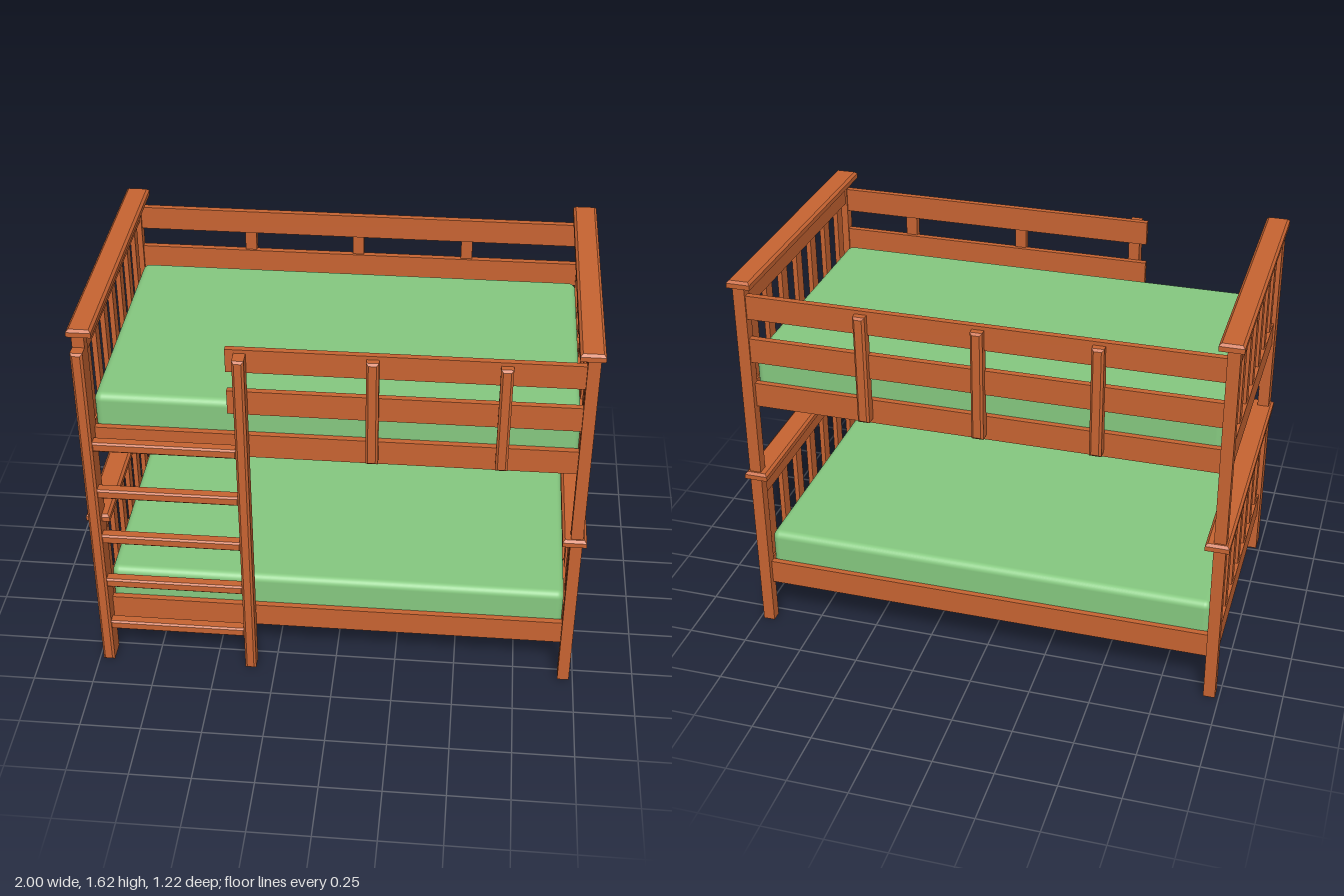
import * as THREE from 'three';
import { RoundedBoxGeometry } from 'three/addons/geometries/RoundedBoxGeometry.js';

const wood = new THREE.MeshStandardMaterial({ color: 0xc86432 });
const fabric = new THREE.MeshStandardMaterial({ color: 0x86c980 });

export function createModel() {
  const bed = new THREE.Group();
  bed.name = 'bunkBed';

  // Box between two limits per axis; the face on the given side is pulled in by a chamfer
  function board(name, [x0, x1], [y0, y1], [z0, z1], axis = '', side = 1, cut = 0.009) {
    const size = { x: x1 - x0, y: y1 - y0, z: z1 - z0 };
    let geo = new THREE.BoxGeometry(size.x, size.y, size.z);
    if (axis) {
      // add a middle ring so that only the outer part is chamfered
      const seg = { x: 1, y: 1, z: 1 };
      seg[axis] = 2;
      geo = new THREE.BoxGeometry(size.x, size.y, size.z, seg.x, seg.y, seg.z).toNonIndexed();
      const p = geo.attributes.position;
      const v = new THREE.Vector3();
      for (let i = 0; i < p.count; i++) {
        v.fromBufferAttribute(p, i);
        const d = v[axis] * side;
        if (Math.abs(d) < 1e-5) {
          v[axis] = side * (size[axis] / 2 - Math.min(cut, size[axis] * 0.6));
        } else if (d > 0) {
          for (const a of ['x', 'y', 'z']) if (a !== axis) v[a] -= Math.sign(v[a]) * cut;
        }
        p.setXYZ(i, v.x, v.y, v.z);
      }
      geo.computeVertexNormals();
    }
    const mesh = new THREE.Mesh(geo, wood);
    mesh.name = name;
    mesh.position.set((x0 + x1) / 2, (y0 + y1) / 2, (z0 + z1) / 2);
    bed.add(mesh);
  }
  const span = (c, w) => [c - w / 2, c + w / 2];
  const mid = -0.012; // z centre of the bunks

  // Posts and end panels
  for (const s of [-1, 1]) {
    const sx = (a, b) => (s > 0 ? [a, b] : [-b, -a]);
    for (const z of [[0.515, 0.56], [-0.583, -0.537]]) {
      board('post', sx(0.936, 0.984), [0, 1.613], z);
    }
    for (const y of [0, 0.866]) {
      board('endCap', sx(0.904, 1), [y + 0.722, y + 0.752], [-0.6, 0.575], 'y', 1, 0.01);
      board('endTopPanel', sx(0.943, 0.975), [y + 0.62, y + 0.724], [-0.54, 0.52]);
      board('endBottomPanel', sx(0.943, 0.975), [y + 0.187, y + 0.291], [-0.54, 0.52]);
      for (let i = -3; i <= 3; i++) {
        board('endSlat', sx(0.95, 0.97), [y + 0.28, y + 0.63], span(mid + i * 0.156, 0.056));
      }
    }
  }

  // Bunks: side rails, cross slats and mattress
  for (const y of [0, 0.866]) {
    board('sideRail', [-0.945, 0.945], [y + 0.187, y + 0.291], [0.512, 0.537]);
    board('sideRail', [-0.945, 0.945], [y + 0.187, y + 0.291], [-0.56, -0.535]);
    for (const z of [0.497, -0.52]) {
      board('slatLedge', [-0.943, 0.943], [y + 0.19, y + 0.208], span(z, 0.032));
    }
    for (let i = -4; i <= 4; i++) {
      board('crossSlat', span(i * 0.185, 0.08), [y + 0.208, y + 0.228], [-0.536, 0.513]);
    }
    const mattress = new THREE.Mesh(new RoundedBoxGeometry(1.872, 0.197, 1.048, 4, 0.03), fabric);
    mattress.name = 'mattress';
    mattress.position.set(0, y + 0.326, mid);
    bed.add(mattress);
  }

  // Guard rails: full length at the back, open beside the ladder at the front
  for (const y of [[1.45, 1.55], [1.26, 1.364]]) {
    board('frontGuardRail', [-0.41, 0.94], y, [0.522, 0.547]);
    board('backGuardRail', [-0.94, 0.94], y, [-0.576, -0.55]);
  }
  for (const x of [0.147, 0.645]) {
    board('frontGuardUpright', span(x, 0.048), [1.075, 1.535], [0.537, 0.58], 'z', 1);
  }
  for (const x of [-0.465, 0, 0.465]) {
    board('backGuardUpright', span(x, 0.048), [1.075, 1.535], [-0.61, -0.56], 'z', -1);
  }

  // Ladder
  board('ladderPost', [-0.984, -0.936], [0, 1.535], [0.56, 0.61], 'z', 1);
  board('ladderPost', [-0.376, -0.33], [0, 1.535], [0.545, 0.61], 'z', 1);
  for (let i = 0; i < 5; i++) {
    board('ladderRung', [-0.94, -0.372], span(0.192 + i * 0.2285, 0.042), [0.565, 0.605], 'z', 1, 0.007);
  }

  return bed;
}
